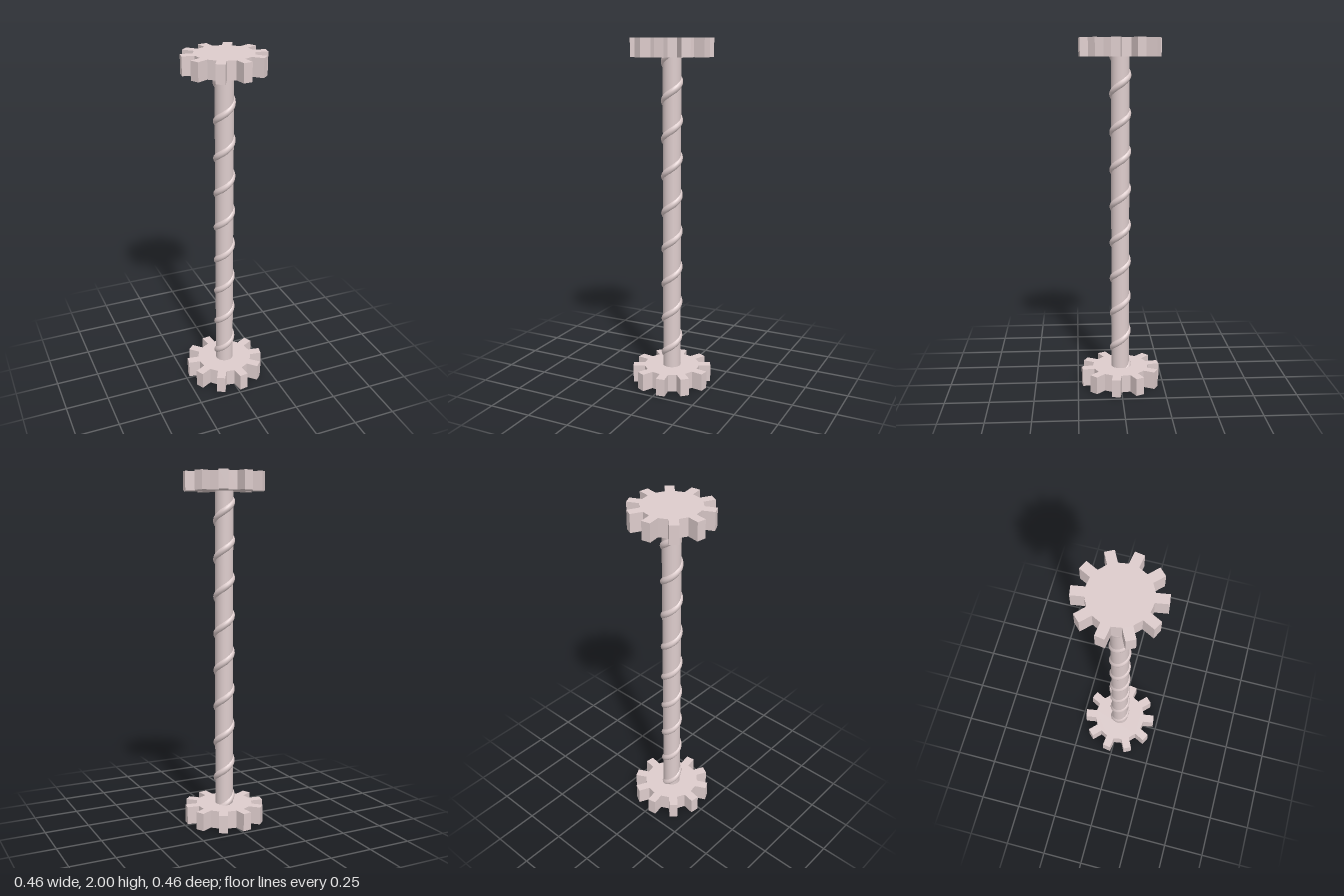
import * as THREE from 'three';

const material = new THREE.MeshStandardMaterial({ color: 0xddcccc });
const GEAR_HEIGHT = 0.102;

// Twenty-sided disc whose every second face is pulled straight out into a tooth
function gearGeometry() {
  const root = 0.162, toothLength = 0.068, step = Math.PI / 10;
  const points = [];
  for (let i = 0; i < 20; i += 2) {
    const a = i * step, b = a + step, mid = a + step / 2;
    const out = new THREE.Vector2(Math.cos(mid), Math.sin(mid)).multiplyScalar(toothLength);
    const p = new THREE.Vector2(Math.cos(a), Math.sin(a)).multiplyScalar(root);
    const q = new THREE.Vector2(Math.cos(b), Math.sin(b)).multiplyScalar(root);
    points.push(p, p.clone().add(out), q.clone().add(out), q);
  }
  const geometry = new THREE.ExtrudeGeometry(new THREE.Shape(points), { depth: GEAR_HEIGHT, bevelEnabled: false });
  geometry.rotateX(Math.PI / 2);
  geometry.translate(0, GEAR_HEIGHT, 0);
  return geometry;
}

// Rising spiral, turning from the front towards +x
class Helix extends THREE.Curve {
  getPoint(t, target = new THREE.Vector3()) {
    const radius = 0.041, pitch = 0.2114;
    const y = 0.06 + t * 1.88;
    const angle = (2 * Math.PI * (y - 1.697)) / pitch;
    return target.set(radius * Math.sin(angle), y, radius * Math.cos(angle));
  }
}

export function createModel() {
  const model = new THREE.Group();
  const add = (name, geometry, y = 0) => {
    const mesh = new THREE.Mesh(geometry, material);
    mesh.name = name;
    mesh.position.y = y;
    model.add(mesh);
  };

  // Matching gears at both ends
  const gear = gearGeometry();
  add('bottomGear', gear);
  add('topGear', gear, 2 - GEAR_HEIGHT);

  // Shaft, with its ends sunk into the gears
  add('shaft', new THREE.CylinderGeometry(0.0515, 0.0515, 1.9, 32), 1);

  // Thread wound around the shaft
  add('spiralThread', new THREE.TubeGeometry(new Helix(), 360, 0.0205, 12));

  return model;
}
